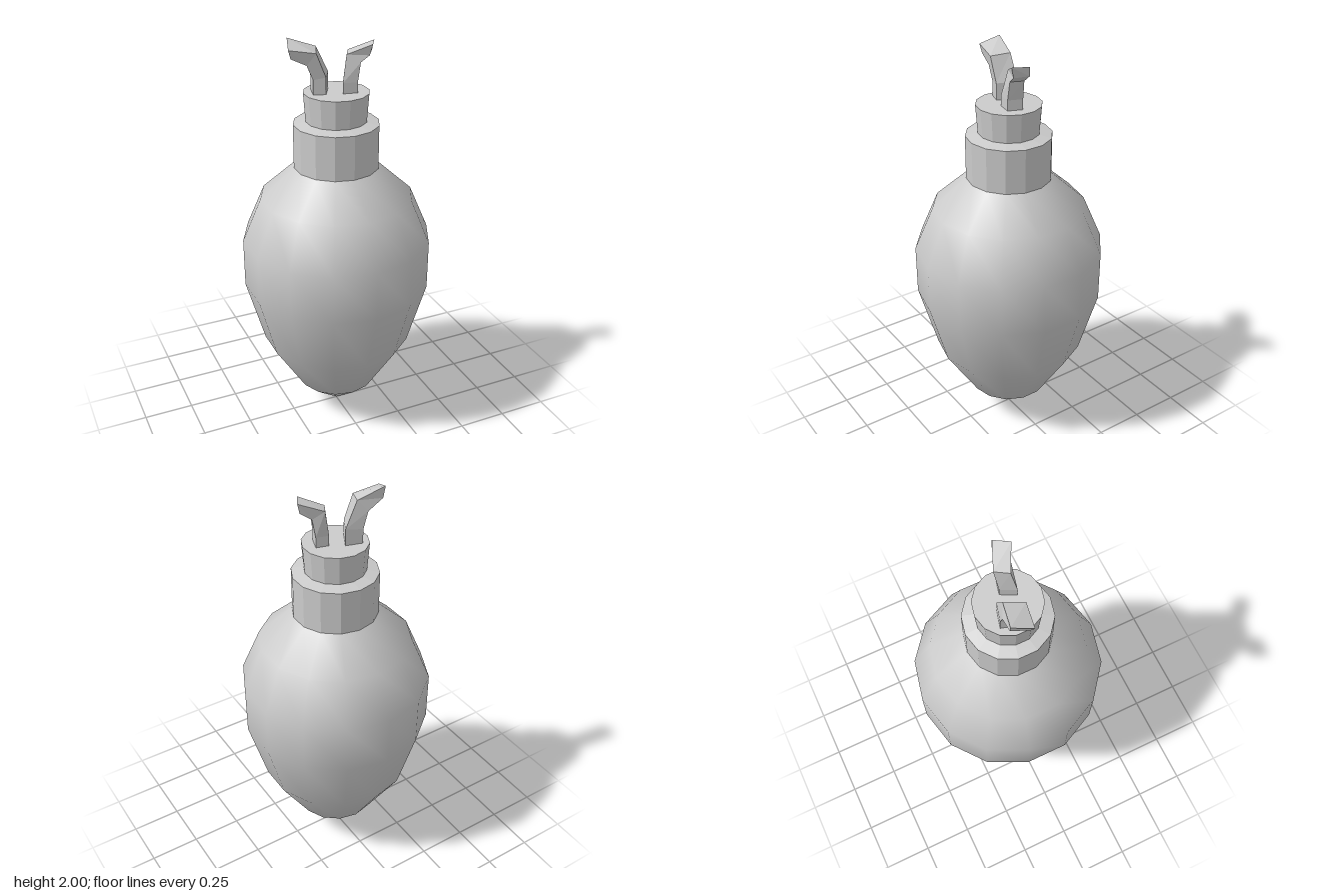
import * as THREE from 'three';

const SIDES = 14;

// Lathe from [radius, height] pairs, listed bottom to top
function lathe(name, profile, flatShading) {
  const points = profile.map(([r, y]) => new THREE.Vector2(r, y));
  const mesh = new THREE.Mesh(
    new THREE.LatheGeometry(points, SIDES),
    new THREE.MeshStandardMaterial({ color: 0xcccccc, flatShading })
  );
  mesh.name = name;
  return mesh;
}

// Square wire skinned through four-cornered rings, each counter-clockwise as seen from its far end
function wire(name, rings) {
  const positions = [];
  const quad = (a, b, c, d) => [a, b, c, a, c, d].forEach((p) => positions.push(...p));
  for (let i = 0; i < rings.length - 1; i++) {
    for (let j = 0; j < 4; j++) {
      const k = (j + 1) % 4;
      quad(rings[i][j], rings[i][k], rings[i + 1][k], rings[i + 1][j]);
    }
  }
  quad(...rings[rings.length - 1]);
  quad(...[...rings[0]].reverse());
  const geometry = new THREE.BufferGeometry();
  geometry.setAttribute('position', new THREE.Float32BufferAttribute(positions, 3));
  geometry.computeVertexNormals();
  const mesh = new THREE.Mesh(
    geometry,
    new THREE.MeshStandardMaterial({ color: 0xcccccc, flatShading: true })
  );
  mesh.name = name;
  return mesh;
}

export function createModel() {
  const model = new THREE.Group();
  model.name = 'lightBulb';

  // Smooth glass drop, pointed at the bottom
  model.add(lathe('bulb', [
    [0, 0.005], [0.205, 0.175], [0.375, 0.45], [0.465, 0.775],
    [0.465, 1.02], [0.372, 1.235], [0.205, 1.385],
  ], false));

  // Faceted socket: wide collar with a narrower cap
  model.add(lathe('collar', [[0, 1.385], [0.206, 1.385], [0.206, 1.6], [0.146, 1.612]], true));
  model.add(lathe('cap', [[0.146, 1.61], [0.156, 1.75], [0, 1.75]], true));

  // Two bent wires leaving the cap; rings run base, bend, elbow, end
  model.add(wire('rightWire', [
    [[-0.015, 1.74, -0.06], [-0.095, 1.74, -0.082], [-0.12, 1.74, 0.01], [-0.063, 1.74, 0.027]],
    [[-0.015, 1.83, -0.06], [-0.095, 1.82, -0.082], [-0.12, 1.82, 0.01], [-0.063, 1.83, 0.027]],
    [[-0.075, 1.955, -0.06], [-0.12, 1.9, -0.082], [-0.15, 1.89, 0.01], [-0.11, 1.945, 0.027]],
    [[-0.205, 2.0, -0.087], [-0.195, 1.945, -0.085], [-0.222, 1.925, 0], [-0.235, 1.967, 0.005]],
  ]));
  model.add(wire('leftWire', [
    [[0.01, 1.74, 0.05], [0.08, 1.74, 0.062], [0.105, 1.74, -0.005], [0.045, 1.74, -0.02]],
    [[0.01, 1.8, 0.05], [0.08, 1.8, 0.062], [0.105, 1.8, -0.005], [0.045, 1.8, -0.02]],
    [[0.037, 1.925, 0.03], [0.095, 1.89, 0.06], [0.12, 1.89, 0], [0.072, 1.93, -0.032]],
    [[0.143, 1.973, 0.084], [0.135, 1.92, 0.068], [0.175, 1.93, 0.01], [0.183, 1.975, 0.015]],
  ]));

  return model;
}
